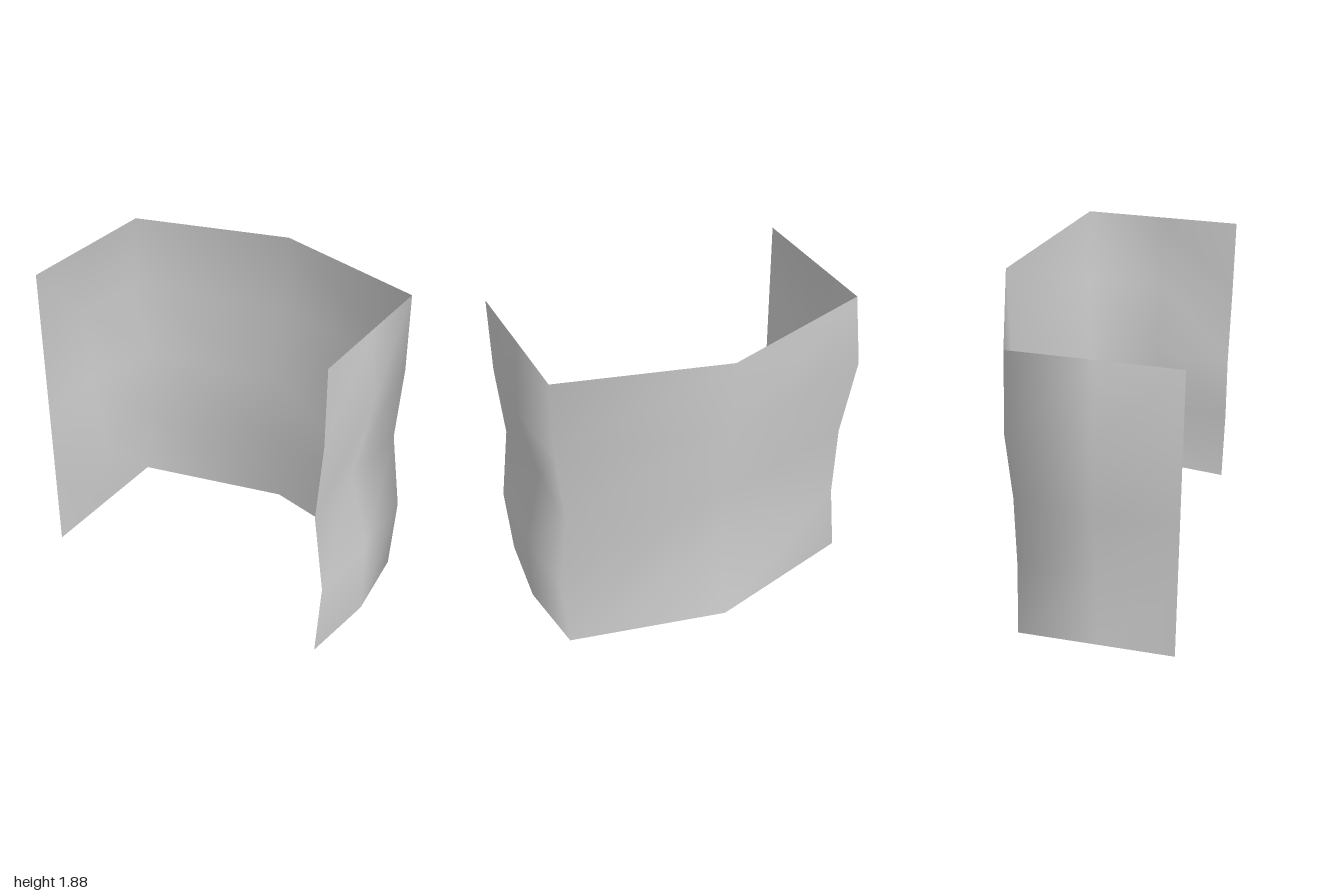
import * as THREE from 'three';

export function createModel() {
  const group = new THREE.Group();
  const grey = new THREE.MeshStandardMaterial({ color: 0xcccccc, side: THREE.DoubleSide });
  grey.name = 'plain grey';

  // Vertical folds of the sheet, from the left front edge round the back to the
  // right front edge. Each lists x and z at five evenly spaced heights, bottom up.
  const same = (v) => Array(5).fill(v);
  const leftEdgeX = [0.945, 0.975, 0.91, 0.945, 0.945];
  const folds = [
    { x: leftEdgeX, z: same(0.6) },
    { x: [1.0, 1.0, 0.885, 0.98, 0.945], z: same(0.135) },
    { x: leftEdgeX, z: same(-0.33) },
    { x: same(0.005), z: [-0.56, -0.5, -0.515, -0.59, -0.6] },
    { x: [-0.93, -0.88, -0.893, -0.99, -0.93], z: same(-0.33) },
    { x: [-0.93, -0.9, -0.975, -1.0, -0.93], z: same(0.135) },
    { x: same(-0.93), z: same(0.6) },
  ];
  const rows = 5, cols = folds.length, height = 1.88;

  const positions = [], index = [];
  for (let r = 0; r < rows; r++) {
    for (let c = 0; c < cols; c++) {
      positions.push(folds[c].x[r], (height * r) / (rows - 1), folds[c].z[r]);
      if (r < rows - 1 && c < cols - 1) {
        const a = r * cols + c, b = a + 1, d = a + cols, e = d + 1;
        index.push(a, b, e, a, e, d);
      }
    }
  }

  // One thin, smooth-shaded, wavy sheet
  const geometry = new THREE.BufferGeometry();
  geometry.setAttribute('position', new THREE.Float32BufferAttribute(positions, 3));
  geometry.setIndex(index);
  geometry.computeVertexNormals();

  const sheet = new THREE.Mesh(geometry, grey);
  sheet.name = 'foldedSheet';
  group.add(sheet);
  return group;
}
